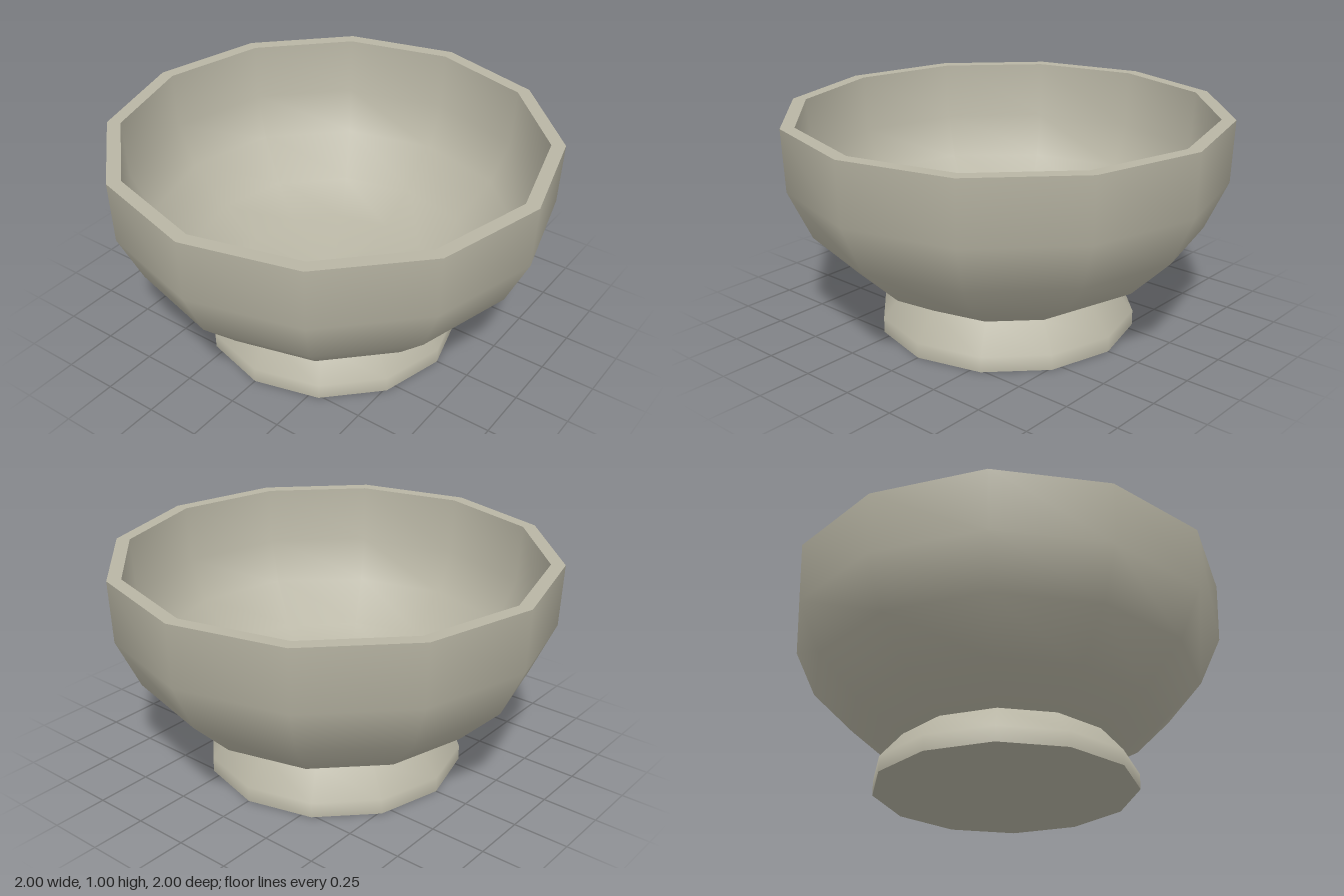
import * as THREE from 'three';

const SIDES = 12;

export function createModel() {
  const model = new THREE.Group();
  model.name = 'footedBowl';

  const clay = new THREE.MeshStandardMaterial({ color: 0xb8b5a4 });
  clay.name = 'greyClay';

  // Each surface is its own lathe, so shading is smooth within it and sharp at its edges.
  // Profiles are [radius, height]; rising profiles face outward, falling ones inward.
  function turn(name, profile, parent) {
    const points = profile.map(([r, y]) => new THREE.Vector2(r, y));
    const mesh = new THREE.Mesh(new THREE.LatheGeometry(points, SIDES), clay);
    mesh.name = name;
    parent.add(mesh);
  }

  // Bowl: outer wall, flat rim and hollow inside
  const bowl = new THREE.Group();
  bowl.name = 'bowl';
  turn('outerWall', [[0.49, 0.19], [0.7, 0.31], [0.89, 0.5], [0.99, 0.72], [1, 1]], bowl);
  turn('rim', [[1, 1], [0.938, 1]], bowl);
  turn('innerWall', [[0.938, 1], [0.925, 0.735], [0.835, 0.54], [0.66, 0.365], [0.46, 0.255], [0, 0.2]], bowl);

  // Foot: flared ring with a flat closed underside
  const foot = new THREE.Group();
  foot.name = 'foot';
  turn('footSide', [[0.592, 0], [0.592, 0.07], [0.49, 0.19]], foot);
  turn('footUnderside', [[0, 0], [0.592, 0]], foot);

  model.add(bowl, foot);
  return model;
}
